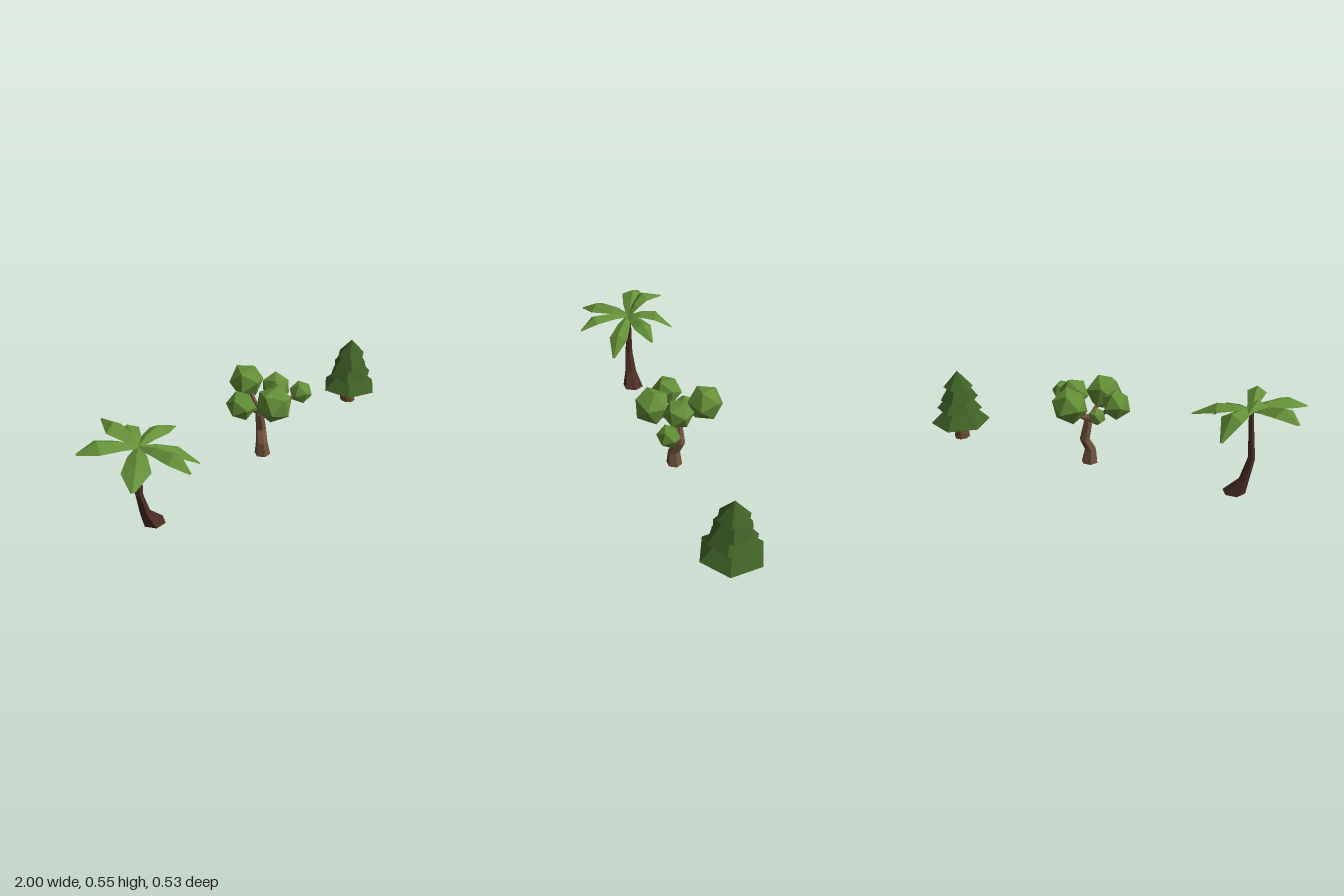
import * as THREE from 'three';

const V = (p) => new THREE.Vector3(...p);
const mat = (name, color, side = THREE.FrontSide) => {
  const m = new THREE.MeshStandardMaterial({ color, side, flatShading: true });
  m.name = name;
  return m;
};

// Trunk skinned over rings of [x, y, z, radiusX, radiusZ]
function loft(rings, sides, turn = 0) {
  const pos = [], idx = [];
  for (const [x, y, z, rx, rz] of rings) {
    for (let i = 0; i < sides; i++) {
      const a = turn + (i / sides) * Math.PI * 2;
      pos.push(x + rx * Math.cos(a), y, z + rz * Math.sin(a));
    }
  }
  const last = (rings.length - 1) * sides;
  for (let r = 0; r < rings.length - 1; r++) {
    for (let i = 0; i < sides; i++) {
      const a = r * sides + i, b = r * sides + (i + 1) % sides;
      idx.push(a, a + sides, b, b, a + sides, b + sides);
    }
  }
  for (let i = 1; i < sides - 1; i++) {
    idx.push(0, i, i + 1, last, last + i + 1, last + i);
  }
  return finish(pos, idx);
}

function finish(pos, idx) {
  const g = new THREE.BufferGeometry();
  g.setAttribute('position', new THREE.Float32BufferAttribute(pos, 3));
  g.setIndex(idx);
  const flat = g.toNonIndexed();
  flat.computeVertexNormals();
  return flat;
}

// Folded frond: a raised ridge with drooping edges, widest near the bend
function frondGeometry(base, bend, tip, halfWidth) {
  const b = V(base), m = V(bend), t = V(tip);
  const side = new THREE.Vector3().subVectors(t, b).setY(0).normalize().cross(new THREE.Vector3(0, 1, 0));
  const inner = b.clone().lerp(m, 0.45);
  inner.y += 0.012;
  const sections = [[b, 0.014, 0.006], [inner, halfWidth * 0.68, 0.02], [m, halfWidth, 0.03], [t, halfWidth * 0.12, 0.004]];
  const pos = [], idx = [];
  for (const [c, w, drop] of sections) {
    for (const s of [-1, 0, 1]) {
      const p = c.clone().addScaledVector(side, s * w);
      p.y -= Math.abs(s) * drop;
      pos.push(p.x, p.y, p.z);
    }
  }
  for (let r = 0; r < 3; r++) {
    for (let i = 0; i < 2; i++) {
      const a = r * 3 + i;
      idx.push(a, a + 1, a + 3, a + 1, a + 4, a + 3);
    }
  }
  return finish(pos, idx);
}

export function createModel() {
  const model = new THREE.Group();
  const leaf = mat('leafGreen', 0x648f38);
  const frondMat = mat('frondGreen', 0x648f38, THREE.DoubleSide);
  const needle = mat('pineGreen', 0x3f6026);
  const palmBark = mat('palmBark', 0x4c2e25);
  const bark = mat('bark', 0x73543f);
  const pineBark = mat('pineBark', 0x694a25);

  const group = (name) => {
    const g = new THREE.Group();
    g.name = name;
    model.add(g);
    return g;
  };
  const add = (parent, name, geometry, material) => {
    const mesh = new THREE.Mesh(geometry, material);
    mesh.name = name;
    parent.add(mesh);
    return mesh;
  };

  // Palm with a curved trunk and seven fronds
  const palm = group('palmTree');
  add(palm, 'palmTrunk', loft([
    [-0.705, 0, -0.03, 0.057, 0.06],
    [-0.75, 0.08, -0.03, 0.025, 0.034],
    [-0.777, 0.2, -0.03, 0.018, 0.021],
    [-0.767, 0.32, -0.03, 0.014, 0.016],
    [-0.757, 0.45, -0.03, 0.012, 0.012],
  ], 6), palmBark);
  const crown = [-0.757, 0.45, -0.03];
  [ // bend, tip, half width
    [[-0.6, 0.475, -0.065], [-0.485, 0.41, -0.085], 0.052],
    [[-0.61, 0.42, 0.075], [-0.535, 0.32, 0.125], 0.052],
    [[-0.735, 0.488, 0.178], [-0.72, 0.42, 0.262], 0.047],
    [[-0.9, 0.48, 0.12], [-0.98, 0.425, 0.185], 0.065],
    [[-0.92, 0.52, -0.105], [-1.0, 0.475, -0.155], 0.065],
    [[-0.805, 0.553, -0.13], [-0.79, 0.53, -0.232], 0.05],
    [[-0.7, 0.48, -0.17], [-0.68, 0.375, -0.264], 0.057],
  ].forEach(([bend, tip, w], i) => add(palm, `frond${i + 1}`, frondGeometry(crown, bend, tip, w), frondMat));

  // Broadleaf tree: crooked trunk, branches and faceted leaf clusters
  const broad = group('broadleafTree');
  add(broad, 'trunk', loft([
    [0.073, 0, -0.025, 0.044, 0.042],
    [0.067, 0.075, -0.025, 0.031, 0.032],
    [0.089, 0.14, -0.05, 0.027, 0.027],
    [0.072, 0.235, -0.045, 0.023, 0.023],
    [0.076, 0.275, -0.045, 0.019, 0.019],
  ], 6), bark);
  [ // centre, radius
    [[0.112, 0.377, -0.173], 0.093],
    [[-0.08, 0.36, -0.035], 0.078],
    [[0.035, 0.363, 0.083], 0.097],
    [[0.163, 0.377, -0.013], 0.078],
    [[0.265, 0.333, 0.072], 0.061],
    [[-0.005, 0.31, -0.105], 0.046],
  ].forEach(([c, r], i) => {
    const start = V([0.076, 0.255, -0.045]), end = V(c);
    const mid = start.clone().lerp(end, 0.5);
    mid.y -= 0.012;
    const path = new THREE.CatmullRomCurve3([start, mid, end]);
    add(broad, `branch${i + 1}`, new THREE.TubeGeometry(path, 4, 0.011, 5), bark);
    const cluster = add(broad, `leafCluster${i + 1}`, new THREE.IcosahedronGeometry(r, 0), leaf);
    cluster.position.copy(end);
    cluster.rotation.set(0.35 + i * 0.5, i * 0.9, 0.2);
  });

  // Pine with four stacked six-sided tiers
  const pine = group('pineTree');
  add(pine, 'pineTrunk', loft([
    [0.85, 0, -0.03, 0.041, 0.046],
    [0.85, 0.05, -0.03, 0.036, 0.039],
    [0.85, 0.12, -0.03, 0.034, 0.037],
  ], 8, Math.PI / 8), pineBark);
  [ // bottom, height, bottom radius, top radius, turn, tilt
    [0.094, 0.1, 0.16, 0.055, 0.1, 0],
    [0.172, 0.085, 0.122, 0.05, -0.05, 0.04],
    [0.23, 0.09, 0.102, 0.045, 0.16, -0.03],
    [0.3, 0.092, 0.08, 0, 0, 0],
  ].forEach(([y, h, rb, rt, turn, tilt], i) => {
    const tier = add(pine, `pineTier${i + 1}`, new THREE.CylinderGeometry(rt, rb, h, 6), needle);
    tier.position.set(0.854, y + h / 2, -0.026);
    tier.rotation.set(0, turn, tilt);
  });
  return model;
}
